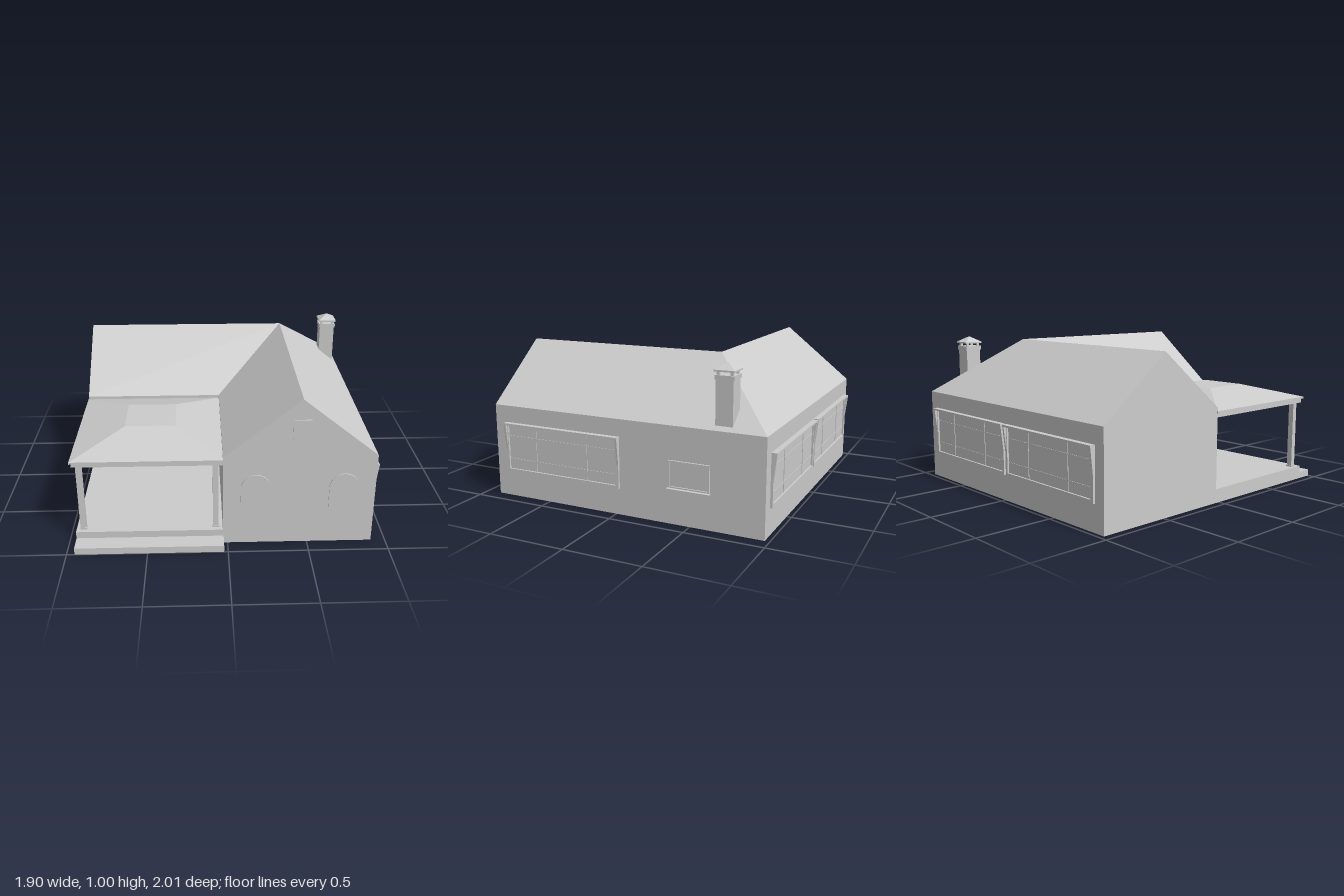
import * as THREE from 'three';

const grey = new THREE.MeshStandardMaterial({ color: 0xcccccc, flatShading: true, side: THREE.DoubleSide });

function add(parent, name, geometry) {
  const mesh = new THREE.Mesh(geometry, grey);
  mesh.name = name;
  parent.add(mesh);
  return mesh;
}

// Box given by its min and max along each axis
function box(parent, name, x0, x1, y0, y1, z0, z1) {
  const mesh = add(parent, name, new THREE.BoxGeometry(x1 - x0, y1 - y0, z1 - z0));
  mesh.position.set((x0 + x1) / 2, (y0 + y1) / 2, (z0 + z1) / 2);
  return mesh;
}

// Flat convex faces, each a list of corners in anticlockwise order
function facesGeometry(faces) {
  const pos = [];
  for (const f of faces)
    for (let i = 1; i < f.length - 1; i++) pos.push(...f[0], ...f[i], ...f[i + 1]);
  const g = new THREE.BufferGeometry();
  g.setAttribute('position', new THREE.Float32BufferAttribute(pos, 3));
  g.computeVertexNormals();
  return g;
}

// Hipped slope between a lower and an upper rectangle [x0, x1, z0, z1, y]
function hipGeometry(low, high) {
  const ring = ([x0, x1, z0, z1, y]) => [[x0, y, z1], [x1, y, z1], [x1, y, z0], [x0, y, z0]];
  const a = ring(low), b = ring(high), faces = [b];
  for (let i = 0; i < 4; i++) {
    const j = (i + 1) % 4;
    faces.push([a[i], a[j], b[j], b[i]]);
  }
  return facesGeometry(faces);
}

// Rectangular surround made of four bars, facing +z
function frame(parent, w, h, t, d) {
  for (const s of [-1, 1]) {
    const x = s * (w - t) / 2, y = s * (h - t) / 2;
    box(parent, 'frameSide', x - t / 2, x + t / 2, -h / 2, h / 2, -0.01, d);
    box(parent, 'frameRail', -w / 2 + t, w / 2 - t, y - t / 2, y + t / 2, -0.01, d);
  }
}

// Wide window: surround, glazing bars, head board and tapering cheeks
function wideWindow(parent, name, w) {
  const g = new THREE.Group(), h = 0.33;
  g.name = name;
  parent.add(g);
  frame(g, w, h, 0.02, 0.015);
  box(g, 'glass', -w / 2 + 0.02, w / 2 - 0.02, -h / 2 + 0.02, h / 2 - 0.02, -0.01, 0.003);
  for (const s of [-1, 1]) {
    const x = s * w * 0.225, y = s * 0.077;
    box(g, 'mullion', x - 0.003, x + 0.003, -h / 2 + 0.02, h / 2 - 0.02, 0, 0.007);
    box(g, 'glazingBar', -w / 2 + 0.02, w / 2 - 0.02, y - 0.002, y + 0.002, 0, 0.006);
    const profile = new THREE.Shape([[0, 0.165], [0, -0.01], [0.015, -0.01], [0.035, 0.165]]
      .map(([z, y]) => new THREE.Vector2(-z, y)));
    const cheek = add(g, 'cheek', new THREE.ExtrudeGeometry(profile, { depth: 0.014, bevelEnabled: false }));
    cheek.rotation.y = Math.PI / 2;
    cheek.position.x = s * (w / 2 - 0.007) - 0.007;
  }
  box(g, 'headBoard', -w / 2, w / 2, h / 2 - 0.012, h / 2, 0, 0.035);
  return g;
}

function archGeometry(w, h, depth) {
  const r = w / 2, s = new THREE.Shape();
  s.moveTo(-r, 0);
  s.lineTo(r, 0);
  s.lineTo(r, h - r);
  s.absarc(0, h - r, r, 0, Math.PI, false);
  s.closePath();
  return new THREE.ExtrudeGeometry(s, { depth, bevelEnabled: false, curveSegments: 16 });
}

export function createModel() {
  const house = new THREE.Group();
  house.name = 'house';

  // L-shaped walls
  const plan = [[-0.95, -0.97], [0.91, -0.97], [0.91, 0.9], [-0.03, 0.9], [-0.03, -0.03], [-0.95, -0.03]];
  const walls = add(house, 'walls', new THREE.ExtrudeGeometry(
    new THREE.Shape(plan.map(([x, z]) => new THREE.Vector2(x, -z))), { depth: 0.61, bevelEnabled: false }));
  walls.rotation.x = -Math.PI / 2;

  // Main roof: two gables, one hip at the back corner, one valley by the porch
  const [A, B, C, D, E, F] = plan.map(([x, z]) => [x, 0.61, z]);
  const P = [-0.95, 0.985, -0.5], Q = [0.44, 0.985, -0.5], R = [0.44, 0.985, 0.9];
  add(house, 'mainRoof', facesGeometry([[F, E, Q, P], [B, A, P, Q], [C, B, Q, R], [E, D, R, Q]]));
  add(house, 'gables', facesGeometry([[D, C, R], [A, F, P]]));

  // Porch
  const porch = new THREE.Group();
  porch.name = 'porch';
  house.add(porch);
  box(porch, 'porchFloor', -0.95, -0.03, 0, 0.09, -0.03, 0.89);
  box(porch, 'frontStep', -0.95, -0.025, 0, 0.045, 0.89, 1.0);
  box(porch, 'porchBeam', -0.945, -0.03, 0.547, 0.575, -0.03, 0.88);
  box(porch, 'porchEave', -0.955, -0.022, 0.575, 0.588, -0.035, 0.893);
  add(porch, 'porchRoof', hipGeometry([-0.955, -0.022, -0.035, 0.893, 0.588], [-0.64, -0.32, 0.26, 0.585, 0.675]));
  for (const x of [-0.907, -0.073]) {
    box(porch, 'porchPost', x - 0.018, x + 0.018, 0.09, 0.55, 0.82, 0.856);
    box(porch, 'postFoot', x - 0.023, x + 0.023, 0.09, 0.1, 0.815, 0.861);
  }

  // Door and windows under the porch
  box(house, 'door', -0.6, -0.38, 0.09, 0.49, -0.04, -0.024);
  for (const x of [-0.775, -0.21]) {
    box(house, 'porchWindow', x - 0.115, x + 0.115, 0.26, 0.43, -0.04, -0.024);
    box(house, 'porchSill', x - 0.115, x + 0.115, 0.256, 0.262, -0.04, -0.012);
  }

  // Front gable windows
  for (const x of [0.173, 0.717]) {
    add(house, 'archedWindow', archGeometry(0.187, 0.26, 0.018)).position.set(x, 0.228, 0.89);
  }
  box(house, 'atticWindow', 0.387, 0.495, 0.728, 0.855, 0.89, 0.908);

  // Wide windows on the side and back
  const side = wideWindow(house, 'sideWindow', 0.845);
  side.position.set(0.91, 0.335, 0.395);
  side.rotation.y = Math.PI / 2;
  for (const x of [-0.455, 0.41]) {
    const back = wideWindow(house, 'backWindow', 0.845);
    back.position.set(x, 0.335, -0.97);
    back.rotation.y = Math.PI;
  }

  // Small side window with a sill
  const small = new THREE.Group();
  small.name = 'smallWindow';
  small.position.set(0.91, 0.315, -0.497);
  small.rotation.y = Math.PI / 2;
  house.add(small);
  frame(small, 0.265, 0.17, 0.01, 0.012);
  box(small, 'glass', -0.125, 0.125, -0.077, 0.077, -0.01, 0.003);
  box(small, 'sill', -0.137, 0.137, -0.09, -0.083, 0, 0.035);

  // Chimney with a raised pyramid cap
  const chimney = new THREE.Group();
  chimney.name = 'chimney';
  chimney.position.set(0.827, 0, -0.7);
  house.add(chimney);
  box(chimney, 'stack', -0.054, 0.054, 0.55, 0.9, -0.054, 0.054);
  box(chimney, 'stackBand', -0.06, 0.06, 0.9, 0.927, -0.06, 0.06);
  for (const x of [-0.042, 0.042])
    for (const z of [-0.042, 0.042]) box(chimney, 'capLeg', x - 0.008, x + 0.008, 0.925, 0.95, z - 0.008, z + 0.008);
  box(chimney, 'capPlate', -0.064, 0.064, 0.947, 0.957, -0.064, 0.064);
  add(chimney, 'cap', hipGeometry([-0.064, 0.064, -0.064, 0.064, 0.957], [-0.001, 0.001, -0.001, 0.001, 0.995]));

  return house;
}
